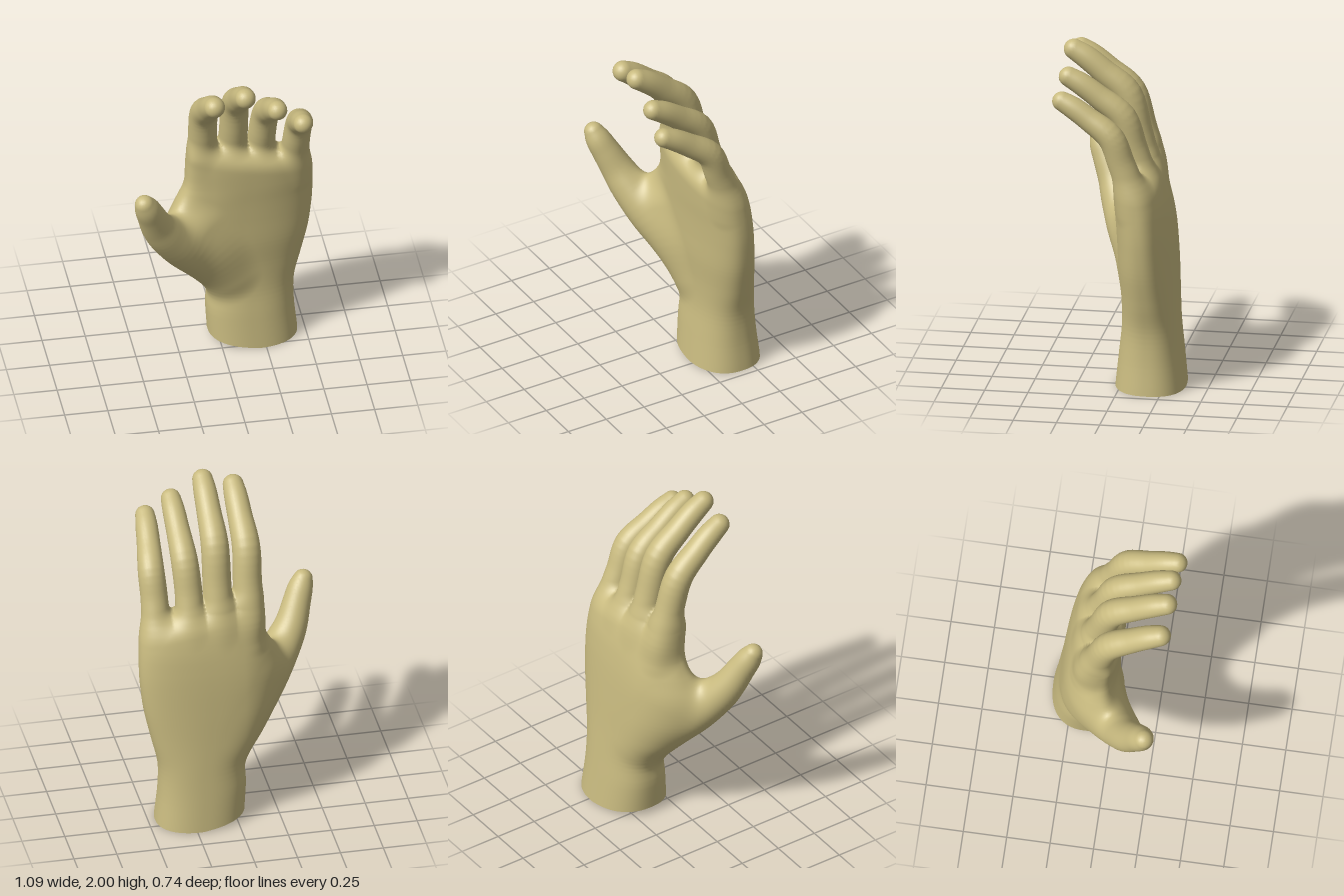
import * as THREE from 'three';
import { mergeVertices } from 'three/addons/utils/BufferGeometryUtils.js';

const skin = new THREE.MeshStandardMaterial({ color: 0xc9bb80, side: THREE.DoubleSide });
const { lerp, clamp } = THREE.MathUtils;

// Curve through rows of numbers, sampled finely
function smoothRows(rows, steps) {
  const curves = rows[0].map((_, k) =>
    new THREE.CatmullRomCurve3(rows.map(r => new THREE.Vector3(r[k], 0, 0)), false, 'catmullrom'));
  const count = (rows.length - 1) * steps;
  return Array.from({ length: count + 1 }, (_, i) => curves.map(c => c.getPoint(i / count).x));
}

// Smooth minimum: joins two bodies with a fillet about k wide
function blend(a, b, k) {
  const h = Math.max(k - Math.abs(a - b), 0) / k;
  return Math.min(a, b) - h * h * k / 4;
}

// Round limb through rows of [x, y, z, radius], as a chain of tapered
// capsules; returns its distance function
function limb(rows) {
  const s = smoothRows(rows, 5);
  return (x, y, z) => {
    let best = Infinity;
    for (let i = 0; i < s.length - 1; i++) {
      const a = s[i], b = s[i + 1];
      const ux = b[0] - a[0], uy = b[1] - a[1], uz = b[2] - a[2];
      const px = x - a[0], py = y - a[1], pz = z - a[2];
      const len2 = ux * ux + uy * uy + uz * uz, taper = b[3] - a[3];
      const along = (px * ux + py * uy + pz * uz) / len2;
      const off = Math.sqrt(Math.max(px * px + py * py + pz * pz - along * along * len2, 0));
      const t = clamp(along + off * taper / Math.sqrt(len2 * Math.max(len2 - taper * taper, 1e-6)), 0, 1);
      best = Math.min(best, Math.sqrt(off * off + (along - t) ** 2 * len2) - lerp(a[3], b[3], t));
    }
    return best;
  };
}

// Finger: straight up to the middle joint, then bent forward to the tip
function finger(xBase, xJoint, xTip, joint, tip, zTip, r, zShift = 0) {
  return limb([
    [xBase, 1.1, -0.135 + zShift, r * 0.8],
    [xBase, 1.24, -0.118 + zShift, r * 1.06],
    [xBase, lerp(1.24, joint, 0.5), -0.067 + zShift, r * 1.03],
    [xJoint, joint, zShift - 0.008, r],
    [lerp(xJoint, xTip, 0.5), lerp(joint, tip, 0.5), lerp(zShift, zTip, 0.43), r * 0.89],
    [lerp(xJoint, xTip, 0.8), lerp(joint, tip, 0.81), lerp(zShift, zTip, 0.75), r * 0.84],
    [xTip, tip, zTip, r * 0.74],
  ]);
}

// Wrist and palm: horizontal sections [y, centre x, centre z, half width, half depth]
const sections = smoothRows([
  [0, 0.2, -0.165, 0.26, 0.205],
  [0.2, 0.185, -0.165, 0.255, 0.185],
  [0.37, 0.185, -0.165, 0.256, 0.168],
  [0.54, 0.157, -0.155, 0.322, 0.163],
  [0.72, 0.128, -0.14, 0.39, 0.165],
  [0.88, 0.121, -0.13, 0.416, 0.162],
  [1.0, 0.138, -0.12, 0.404, 0.158],
  [1.12, 0.165, -0.105, 0.373, 0.152],
  [1.24, 0.167, -0.085, 0.356, 0.138],
  [1.33, 0.165, -0.062, 0.348, 0.114],
], 5);

function palm(x, y, z) {
  let i = 0;
  while (i < sections.length - 2 && sections[i + 1][0] < y) i++;
  const a = sections[i], b = sections[i + 1];
  const t = clamp((y - a[0]) / (b[0] - a[0]), 0, 1);
  const w = lerp(a[3], b[3], t), d = lerp(a[4], b[4], t), n = 2.35;
  const reach = Math.max(0, -0.05 - x); // thumb side curls forward
  const forward = 1.1 * reach * reach + 0.04 * (0.2 - x);
  const u = Math.abs(x - lerp(a[1], b[1], t)) / w;
  const v = Math.abs(z - lerp(a[2], b[2], t) - forward) / d;
  const q = Math.max((u ** n + v ** n) ** (1 / n), 0.05);
  const slope = q ** (1 - n) * Math.hypot(u ** (n - 1) / w, v ** (n - 1) / d);
  // rounded upper end, lower towards the little finger
  return -blend(-(q - 1) / slope, 1.37 - 0.2 * x - y, 0.11);
}

const thumbBones = limb([
  [0.0, 0.46, -0.11, 0.09],
  [-0.08, 0.57, -0.07, 0.115],
  [-0.22, 0.75, 0.022, 0.13],
  [-0.34, 0.9, 0.105, 0.11],
  [-0.402, 1.0, 0.15, 0.094],
  [-0.445, 1.11, 0.2, 0.081],
  [-0.472, 1.18, 0.232, 0.073],
  [-0.494, 1.233, 0.252, 0.056],
]);
const thumbPad = limb([
  [0.06, 0.5, -0.11, 0.1],
  [-0.03, 0.68, -0.075, 0.125],
  [-0.13, 0.86, -0.05, 0.11],
]);
const thumb = (x, y, z) => blend(thumbBones(x, y, z), thumbPad(x, y, z), 0.12);

// Every part beyond the palm, with the width of its fillet
const limbs = [
  { name: 'thumb', at: thumb, fillet: 0.1 },
  { name: 'indexFinger', at: finger(-0.105, -0.11, -0.096, 1.645, 1.89, 0.292, 0.081, 0.01), fillet: 0.06 },
  { name: 'middleFinger', at: finger(0.075, 0.075, 0.08, 1.685, 1.94, 0.304, 0.08), fillet: 0.06 },
  { name: 'ringFinger', at: finger(0.24, 0.252, 0.265, 1.605, 1.835, 0.304, 0.077), fillet: 0.06 },
  { name: 'littleFinger', at: finger(0.432, 0.438, 0.412, 1.54, 1.735, 0.318, 0.076, 0.04), fillet: 0.06 },
];

// Whole hand: each limb blends into the palm but not into its neighbour
function body(x, y, z) {
  const base = palm(x, y, z);
  return limbs.reduce((d, l) => Math.min(d, blend(base, l.at(x, y, z), l.fillet)), base);
}

function gradient([x, y, z], e) {
  return [
    body(x + e, y, z) - body(x - e, y, z),
    body(x, y + e, z) - body(x, y - e, z),
    body(x, y, z + e) - body(x, y, z - e),
  ].map(v => v / (2 * e));
}

export function createModel() {
  const step = 0.016, min = [-0.64, 0, -0.46], size = [78, 129, 56];
  const stride = [1, size[0], size[0] * size[1]];
  const field = new Float32Array(size[0] * size[1] * size[2]);
  const eachCell = fn => {
    for (let k = 0; k < size[2]; k++)
      for (let j = 0; j < size[1]; j++)
        for (let i = 0; i < size[0]; i++) fn([i, j, k], i + j * stride[1] + k * stride[2]);
  };
  eachCell((c, id) => { field[id] = body(...c.map((v, k) => min[k] + v * step)); });

  // Skin point of a cell: its middle, drawn onto the surface
  const pos = [], normals = [], owner = [], known = new Map();
  const skinPoint = id => {
    if (known.has(id)) return known.get(id);
    const cell = [id % size[0], Math.floor(id / stride[1]) % size[1], Math.floor(id / stride[2])];
    let p = cell.map((v, k) => min[k] + (v + 0.5) * step);
    for (let pass = 0; pass < 3; pass++) {
      const g = gradient(p, 0.002), f = body(...p) / Math.max(g[0] ** 2 + g[1] ** 2 + g[2] ** 2, 0.2);
      p = p.map((v, k) => v - clamp(f * g[k], -step, step));
    }
    normals.push(...new THREE.Vector3(...gradient(p, 0.009)).normalize().toArray());
    const distances = [palm(...p), ...limbs.map(l => l.at(...p))];
    owner.push(distances.indexOf(Math.min(...distances)));
    // open wrist edge, cut on a slight slant
    if (cell[1] === 0) p[1] = 0;
    p[1] += 0.04 * Math.max(0, 1 - p[1] / 0.2) * clamp((0.22 - p[0]) / 0.28, 0, 1);
    pos.push(...p);
    known.set(id, owner.length - 1);
    return owner.length - 1;
  };

  // One quad wherever a grid edge passes through the skin
  const faces = [[], ...limbs.map(() => [])];
  eachCell((c, id) => {
    for (let a = 0; a < 3; a++) {
      const b = (a + 1) % 3, d = (a + 2) % 3;
      if (c[a] === size[a] - 1 || c[b] === 0 || c[d] === 0) continue;
      const inside = field[id] < 0;
      if (inside === field[id + stride[a]] < 0) continue;
      const quad = [id, id - stride[b], id - stride[b] - stride[d], id - stride[d]].map(skinPoint);
      if (!inside) quad.reverse();
      const [p, q, r, s] = quad;
      faces[owner[p]].push(p, q, r, p, r, s);
    }
  });

  const hand = new THREE.Group();
  hand.name = 'hand';
  ['wristAndPalm', ...limbs.map(l => l.name)].forEach((name, i) => {
    const whole = new THREE.BufferGeometry();
    whole.setAttribute('position', new THREE.Float32BufferAttribute(pos, 3));
    whole.setAttribute('normal', new THREE.Float32BufferAttribute(normals, 3));
    whole.setIndex(faces[i]);
    const mesh = new THREE.Mesh(mergeVertices(whole.toNonIndexed()), skin);
    mesh.name = name;
    hand.add(mesh);
  });
  return hand;
}
